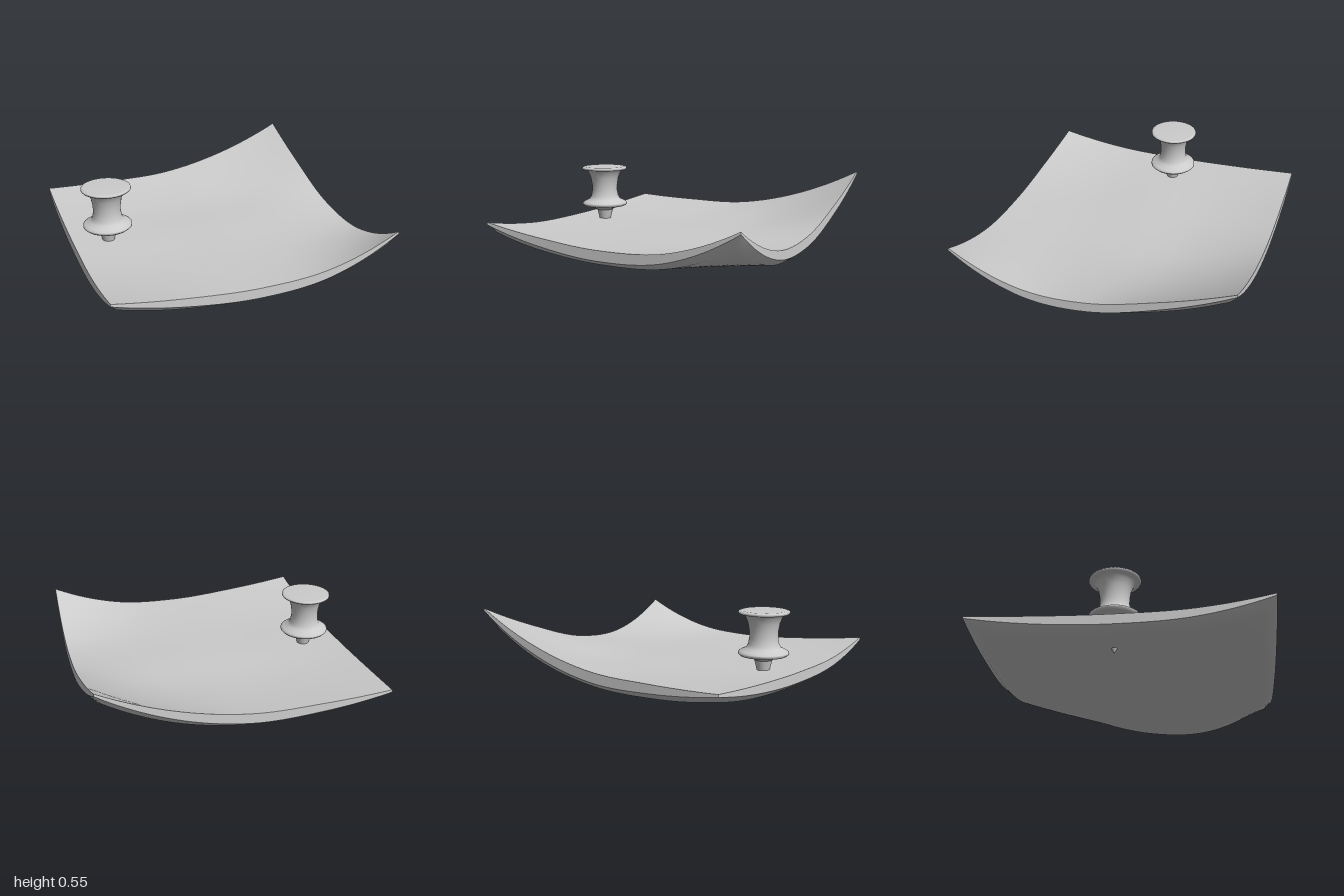
import * as THREE from 'three';

// Upper-surface heights on an even 5 x 5 net: rows run back to front, columns left to right in x
const HEIGHTS = [
  [0.20, 0.187, 0.20, 0.31, 0.515],
  [0.165, 0.135, 0.13, 0.172, 0.32],
  [0.148, 0.13, 0.124, 0.13, 0.172],
  [0.157, 0.127, 0.12, 0.12, 0.162],
  [0.23, 0.17, 0.14, 0.18, 0.36],
];

// Smooth interpolation through five even samples, t from -1 to 1
function spline(values, t) {
  const [a, b, c, d, e] = values;
  const p = [3 * a - 3 * b + c, a, b, c, d, e, 3 * e - 3 * d + c];
  const s = (t + 1) * 2;
  const i = Math.min(3, Math.max(0, Math.floor(s)));
  const u = s - i;
  const [p0, p1, p2, p3] = p.slice(i, i + 4);
  return p1 + 0.5 * u * (p2 - p0 + u * (2 * p0 - 5 * p1 + 4 * p2 - p3 + u * (3 * (p1 - p2) + p3 - p0)));
}

const sheetHeight = (x, z) => spline(HEIGHTS.map((row) => spline(row, x)), z);

// Slab depth: a bevelled underside rim, thinning to almost nothing at the four corners
function sheetDepth(x, z) {
  const corner = Math.abs(x * z);
  const onRim = Math.max(Math.abs(x), Math.abs(z)) > 0.99;
  return onRim ? 0.07 * (1 - 0.78 * corner ** 2.2) : 0.1 * (1 - 0.6 * corner ** 3);
}

// Curled note sheet: a thin slab bent over the height net
function makeSheet(material) {
  const geometry = new THREE.BoxGeometry(2, 1, 2, 40, 1, 40);
  const pos = geometry.attributes.position;
  for (let i = 0; i < pos.count; i++) {
    const x = pos.getX(i);
    const z = pos.getZ(i);
    const isTop = pos.getY(i) > 0;
    const depth = isTop ? 0 : sheetDepth(x, z);
    const spread = (isTop ? 0.997 : 1) - 0.009 * Math.abs(x * z) ** 3;
    pos.setXYZ(i, x * spread, sheetHeight(x, z) - depth, z * spread * 0.99);
  }
  geometry.computeVertexNormals();
  const sheet = new THREE.Mesh(geometry, material);
  sheet.name = 'curledSheet';
  return sheet;
}

function lathe(name, points, material) {
  const profile = points.map(([r, y]) => new THREE.Vector2(r, y));
  const mesh = new THREE.Mesh(new THREE.LatheGeometry(profile, 40), material);
  mesh.name = name;
  return mesh;
}

export function createModel() {
  const model = new THREE.Group();
  model.name = 'pinnedSheet';
  const material = new THREE.MeshStandardMaterial({ color: 0xcccccc });
  model.add(makeSheet(material));

  // Push pin: spool-shaped handle above a pointed spike through the sheet
  const pin = new THREE.Group();
  pin.name = 'pushPin';
  pin.add(
    lathe('pinHandle', [
      [0, 0.2], [0.06, 0.205], [0.085, 0.222], [0.16, 0.238], [0.173, 0.25], [0.172, 0.262],
      [0.155, 0.273], [0.12, 0.29], [0.105, 0.315], [0.097, 0.36], [0.099, 0.41], [0.108, 0.46],
      [0.125, 0.5], [0.14, 0.516], [0.168, 0.522], [0.175, 0.53], [0.173, 0.539], [0.155, 0.545], [0, 0.546],
    ], material),
    lathe('pinSpike', [[0, 0], [0.016, 0.03], [0.04, 0.12], [0.062, 0.21]], material),
  );
  pin.position.set(-0.74, 0, -0.05);
  model.add(pin);
  return model;
}
